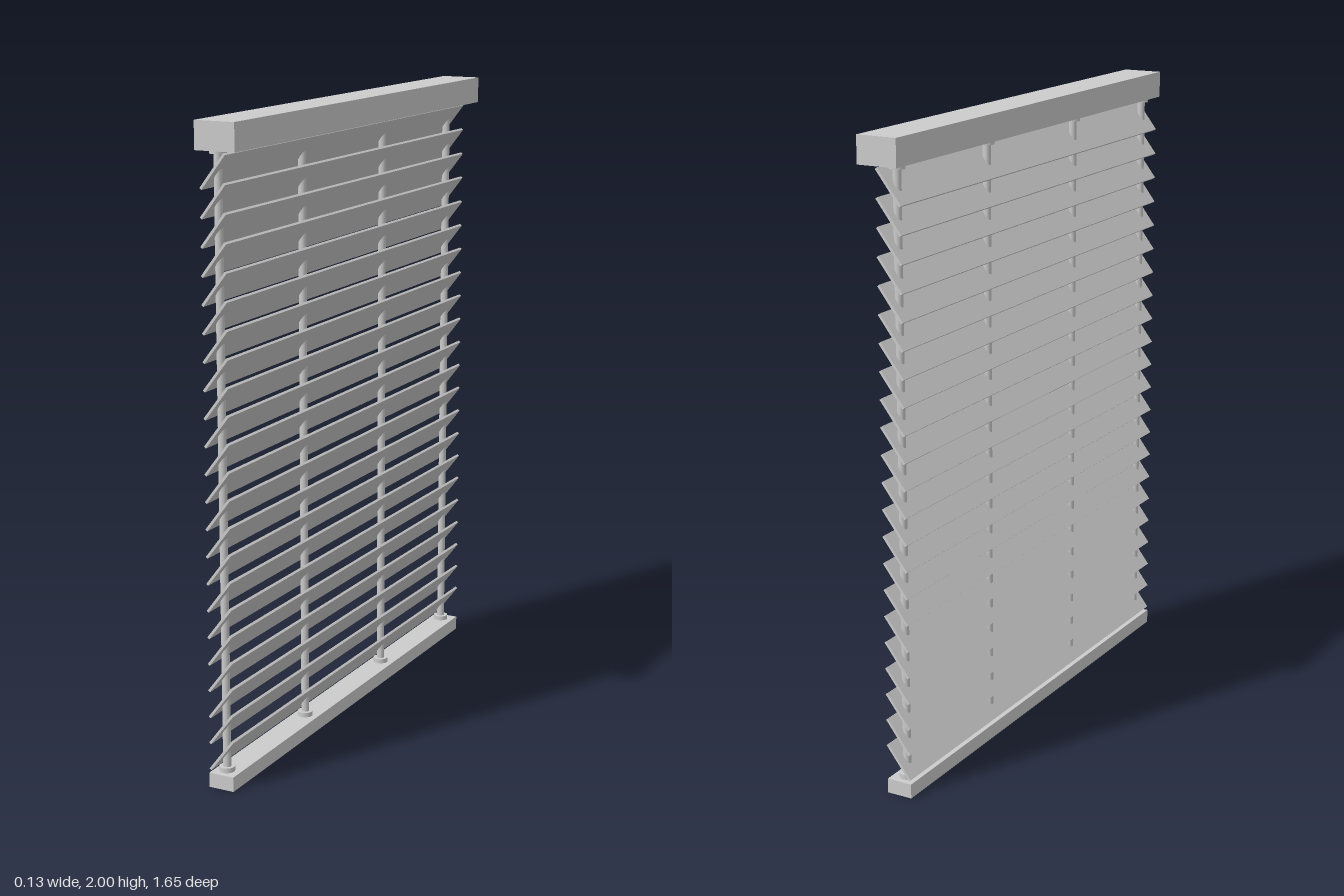
import * as THREE from 'three';

const material = new THREE.MeshStandardMaterial({ color: 0xcccccc });

function addMesh(parent, name, geometry, x, y, z) {
  const mesh = new THREE.Mesh(geometry, material);
  mesh.name = name;
  mesh.position.set(x, y, z);
  parent.add(mesh);
  return mesh;
}

export function createModel() {
  const blind = new THREE.Group();
  blind.name = 'venetianBlind';

  // Head rail on top, narrower bottom rail set to one side
  addMesh(blind, 'headRail', new THREE.BoxGeometry(0.13, 0.084, 1.65), 0, 1.958, 0);
  addMesh(blind, 'bottomRail', new THREE.BoxGeometry(0.083, 0.046, 1.606), -0.0235, 0.023, 0);

  // Tilted slats, evenly spaced
  const slats = new THREE.Group();
  slats.name = 'slats';
  blind.add(slats);
  const slatCount = 22;
  const slatGeometry = new THREE.BoxGeometry(0.128, 0.008, 1.606);
  for (let i = 0; i < slatCount; i++) {
    const y = 0.108 + (i * 1.748) / (slatCount - 1);
    const slat = addMesh(slats, 'slat', slatGeometry, -0.022, y, 0);
    slat.rotation.z = THREE.MathUtils.degToRad(52.5);
  }

  // Ladder cords with a round collar at each rail
  const cordX = -0.026;
  const cordGeometry = new THREE.CylinderGeometry(0.0125, 0.0125, 1.88, 16);
  const collarGeometry = new THREE.CylinderGeometry(0.024, 0.024, 0.016, 20);
  for (const z of [0.763, 0.272, -0.27, -0.761]) {
    const cord = new THREE.Group();
    cord.name = 'cord';
    cord.position.set(cordX, 0, z);
    blind.add(cord);
    addMesh(cord, 'cordRod', cordGeometry, 0, 0.98, 0);
    addMesh(cord, 'lowerCollar', collarGeometry, 0, 0.053, 0);
    addMesh(cord, 'upperCollar', collarGeometry, 0, 1.911, 0);
  }

  return blind;
}
